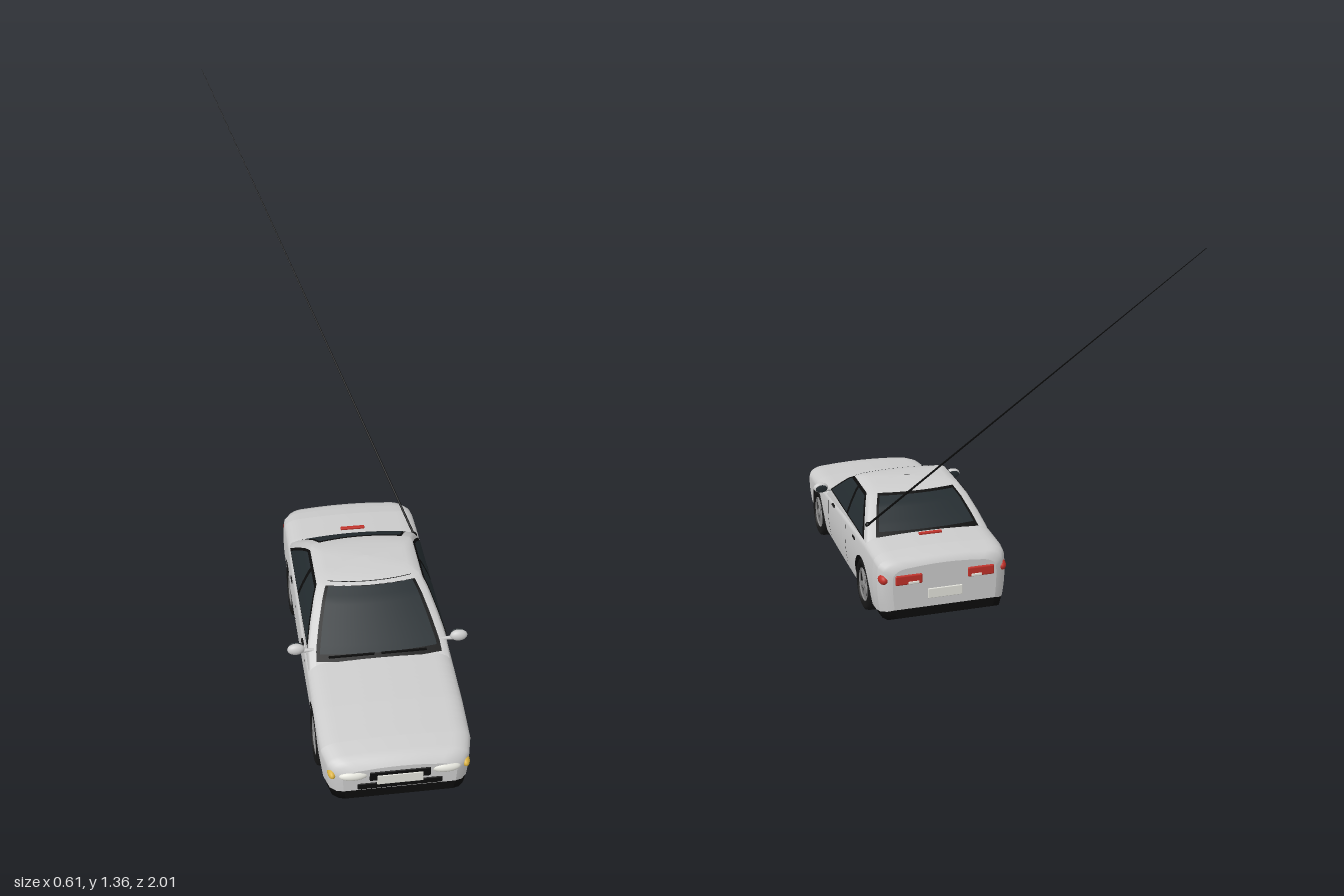
import * as THREE from 'three';
import { RoundedBoxGeometry } from 'three/addons/geometries/RoundedBoxGeometry.js';

const mat = (color) => new THREE.MeshStandardMaterial({ color, side: THREE.DoubleSide });
const PAINT = mat(0xcccccc), BLACK = mat(0x0c0c0c), GLASS = mat(0x242c30), RUBBER = mat(0x161616);
const METAL = mat(0x8a8a8a), WHITE = mat(0xe4e4dc), RED = mat(0xc03028), AMBER = mat(0xd8b040);

// Linear lookup in a table whose first column is the key
function lookup(table, k) {
  let i = 0;
  while (i < table.length - 2 && k > table[i + 1][0]) i++;
  const a = table[i], b = table[i + 1];
  const t = THREE.MathUtils.clamp((k - a[0]) / (b[0] - a[0]), 0, 1);
  return a.map((v, n) => v + (b[n] - v) * t);
}

// Smooth skin through rows of points
function skin(rows) {
  const n = rows[0].length, index = [];
  for (let i = 0; i < rows.length - 1; i++) {
    for (let j = 0; j < n - 1; j++) {
      const a = i * n + j, b = a + n;
      index.push(a, a + 1, b, b, a + 1, b + 1);
    }
  }
  const g = new THREE.BufferGeometry();
  g.setAttribute('position', new THREE.Float32BufferAttribute(rows.flat(2), 3));
  g.setIndex(index);
  g.computeVertexNormals();
  return g;
}

// Patch from a rule p(u, v) with u and v from 0 to 1
const patch = (p, nu, nv) => skin(Array.from({ length: nu + 1 }, (_, i) =>
  Array.from({ length: nv + 1 }, (_, j) => p(i / nu, j / nv))));

const WHEEL_Z = [0.777, 0.14], WHEEL_R = 0.083, ARCH_R = 0.094;

// Lower body: z, half width, bottom, top
const BODY = [
  [-0.078, 0.165, 0.085, 0.225], [-0.07, 0.188, 0.08, 0.24], [-0.04, 0.205, 0.07, 0.247],
  [0, 0.209, 0.06, 0.254], [0.1, 0.21, 0.055, 0.257], [0.4, 0.21, 0.05, 0.242],
  [0.65, 0.209, 0.05, 0.225], [0.8, 0.208, 0.055, 0.214], [0.92, 0.205, 0.07, 0.2],
  [0.97, 0.192, 0.08, 0.19], [0.99, 0.175, 0.086, 0.18], [1, 0.155, 0.092, 0.168],
];
// Cabin: height, front z, back z, half width
const CABIN = [
  [0.2, 0.68, 0.04, 0.204], [0.24, 0.615, 0.085, 0.199], [0.28, 0.555, 0.135, 0.184],
  [0.32, 0.495, 0.19, 0.166], [0.343, 0.45, 0.235, 0.15], [0.352, 0.41, 0.28, 0.12],
  [0.357, 0.35, 0.34, 0.01],
];
const CORNER = 0.02, BOW = 0.015;

function archAt(z) {
  for (const c of WHEEL_Z) {
    const d = z - c;
    if (Math.abs(d) < ARCH_R) return WHEEL_R + Math.sqrt(ARCH_R * ARCH_R - d * d);
  }
  return 0;
}
const sideX = (w, y) => w * (1 - 0.05 * ((y - 0.16) / 0.1) ** 2);

// Body section from one sill over the top to the other
function bodySection(z) {
  const [, w, bottom, top] = lookup(BODY, z);
  const sill = Math.max(bottom, archAt(z)), shoulder = top - 0.035, half = [];
  for (let i = 0; i <= 6; i++) {
    const y = sill + (Math.max(shoulder, sill) - sill) * i / 6;
    half.push([sideX(w, y), y]);
  }
  const [sx, sy] = half[6];
  for (let i = 1; i <= 6; i++) {
    const a = i / 6 * Math.PI / 2;
    half.push([sx - 0.055 * (1 - Math.cos(a)), sy + (top - 0.006 - sy) * Math.sin(a)]);
  }
  const [ex, ey] = half[12];
  for (const f of [0.66, 0.33]) half.push([ex * f, ey + 0.006 * (1 - f * f)]);
  return [...half, [0, top], ...half.slice().reverse().map(([x, y]) => [-x, y])].map(([x, y]) => [x, y, z]);
}

// Underside section, arched over the wheels
function underSection(z) {
  const [, w, bottom] = lookup(BODY, z);
  const arch = archAt(z), sill = arch || bottom, floor = arch || Math.max(0.048, bottom - 0.028);
  const x = sideX(w, sill) * 0.995;
  return [[x, sill, z], [x * 0.97, floor, z], [-x * 0.97, floor, z], [-x, sill, z]];
}

// Horizontal cabin ring with a bowed front and back
function cabinRing(y) {
  const [, zf, zb, w] = lookup(CABIN, y), r = Math.min(CORNER, w * 0.5), ring = [];
  const bow = Math.min(BOW, (zf - zb) * 0.1);
  for (let i = -4; i <= 4; i++) ring.push([(w - r) * i / 4, y, zf - bow * (i / 4) ** 2]);
  const f = zf - bow, b = zb + bow, c = Math.min(CORNER, (f - b) * 0.3);
  ring.push([w - r * 0.25, y, f - c * 0.4]);
  for (let i = 0; i <= 4; i++) ring.push([w, y, f - c + (b - f + 2 * c) * i / 4]);
  ring.push([w - r * 0.25, y, b + c * 0.4]);
  for (let i = 4; i >= -4; i--) ring.push([(w - r) * i / 4, y, zb + bow * (i / 4) ** 2]);
  ring.push([-w + r * 0.25, y, b + c * 0.4]);
  for (let i = 4; i >= 0; i--) ring.push([-w, y, f - c + (b - f + 2 * c) * i / 4]);
  ring.push([-w + r * 0.25, y, f - c * 0.4], ring[0]);
  return ring;
}

// Pane on the front (dir 1) or back (dir -1) of the cabin
const endPane = (dir, y0, y1, span, off) => patch((u, v) => {
  const y = y0 + (y1 - y0) * u, s = (2 * v - 1) * span, [, zf, zb, w] = lookup(CABIN, y);
  return [s * (w - CORNER), y, (dir > 0 ? zf - BOW * s * s : zb + BOW * s * s) + dir * off];
}, 16, 10);

// Pane on a cabin side between two z rules
const sidePane = (side, y0, y1, z0, z1, off) => patch((u, v) => {
  const y = y0 + (y1 - y0) * u, [, zf, zb, w] = lookup(CABIN, y);
  const a = z0(zb), b = z1(zf);
  return [side * (w + off), y, a + (b - a) * v];
}, 14, 4);

function makeWheel(side) {
  const wheel = new THREE.Group();
  const part = (name, g, m) => { const o = new THREE.Mesh(g, m); o.name = name; wheel.add(o); return o; };
  const tyre = [[0.052, -0.02], [0.072, -0.025], [0.08, -0.021], [0.083, -0.012], [0.083, 0.012],
    [0.08, 0.021], [0.072, 0.025], [0.052, 0.02], [0.052, -0.02]].map(([r, y]) => new THREE.Vector2(r, y));
  part('tyre', new THREE.LatheGeometry(tyre, 40), RUBBER);
  part('wheelDisc', new THREE.CylinderGeometry(0.053, 0.053, 0.026, 32), RUBBER);
  part('rim', new THREE.TorusGeometry(0.051, 0.003, 8, 40).rotateX(Math.PI / 2), METAL).position.y = 0.019;
  part('hub', new THREE.CylinderGeometry(0.012, 0.014, 0.01, 20), METAL).position.y = 0.017;
  for (let i = 0; i < 5; i++) {
    part('spoke', new THREE.BoxGeometry(0.042, 0.006, 0.011).translate(0.03, 0.016, 0).rotateY(i * Math.PI * 0.4), METAL);
  }
  wheel.rotation.z = -side * Math.PI / 2;
  return wheel;
}

export function createModel() {
  const model = new THREE.Group(), car = new THREE.Group();
  car.name = 'car';
  car.position.x = 0.05;
  model.add(car);
  const add = (name, g, m, x = 0, y = 0, z = 0) => {
    const o = new THREE.Mesh(g, m);
    o.name = name;
    o.position.set(x, y, z);
    car.add(o);
    return o;
  };
  const box = (w, h, d, r = 0.003) => new RoundedBoxGeometry(w, h, d, 2, r);
  const blob = (a, b, c) => new THREE.SphereGeometry(1, 24, 16).scale(a, b, c);

  // Stations along the car, with extra ones around the arches
  const zs = BODY.map((s) => s[0]);
  for (let z = -0.06; z < 0.99; z += 0.02) zs.push(z);
  for (const c of WHEEL_Z) {
    for (let i = 0; i <= 24; i++) zs.push(c + ARCH_R * 1.0001 * Math.cos(i / 24 * Math.PI));
    zs.push(c - ARCH_R * 0.9999, c + ARCH_R * 0.9999);
  }
  zs.sort((a, b) => a - b);

  // Shell, ends and underside
  add('bodyShell', skin(zs.map(bodySection)), PAINT);
  add('underbody', skin(zs.map(underSection)), BLACK);
  for (const z of [zs[0], 1]) {
    for (const [name, section, m] of [['endPanel', bodySection, PAINT], ['lowerValance', underSection, BLACK]]) {
      const edge = section(z);
      add(name, skin([edge, edge.map(([, y]) => [0, y, z])]), m);
    }
  }
  add('floorPan', new THREE.BoxGeometry(0.3, 0.04, 0.92), BLACK, 0, 0.07, 0.46);

  // Cabin and glass
  const levels = [0.2, 0.22, 0.24, 0.26, 0.28, 0.3, 0.32, 0.335, 0.343, 0.348, 0.352, 0.355, 0.357];
  add('cabin', skin(levels.map(cabinRing)), PAINT);
  add('windscreenSeal', endPane(1, 0.222, 0.345, 0.99, 0.0015), BLACK);
  add('windscreen', endPane(1, 0.234, 0.34, 0.93, 0.003), GLASS);
  add('rearWindowSeal', endPane(-1, 0.25, 0.343, 0.96, 0.0015), BLACK);
  add('rearWindow', endPane(-1, 0.262, 0.338, 0.91, 0.003), GLASS);
  for (const wiper of [-0.08, 0.07]) {
    add('wiper', new THREE.BoxGeometry(0.13, 0.004, 0.006), BLACK, wiper, 0.235, 0.632);
  }

  for (const s of [1, -1]) {
    // Side windows with dark seals
    add('sideWindowSeal', sidePane(s, 0.237, 0.338, (b) => b + 0.048, (f) => f - 0.027, 0.0015), BLACK);
    add('frontSideWindow', sidePane(s, 0.243, 0.33, () => 0.362, (f) => f - 0.037, 0.003), GLASS);
    add('rearSideWindow', sidePane(s, 0.243, 0.33, (b) => b + 0.062, () => 0.345, 0.003), GLASS);

    // Door seams and handles
    for (const z of [0.595, 0.35]) {
      add('doorSeam', patch((u, v) => {
        const y = 0.07 + 0.135 * u;
        return [s * (sideX(0.21, y) + 0.0008), y, z + (v - 0.5) * 0.003];
      }, 8, 1), BLACK);
    }
    for (const z of [0.525, 0.24]) add('doorHandle', box(0.008, 0.008, 0.032), RUBBER, s * 0.207, 0.204, z);

    // Mirrors
    add('mirrorArm', new THREE.CylinderGeometry(0.005, 0.006, 0.045, 10).rotateZ(Math.PI / 2), PAINT, s * 0.205, 0.236, 0.595);
    add('mirror', blob(0.025, 0.017, 0.014), PAINT, s * 0.234, 0.245, 0.597);
    add('mirrorGlass', blob(0.02, 0.013, 0.003), GLASS, s * 0.234, 0.245, 0.584);

    // Lamps
    add('headlamp', blob(0.04, 0.015, 0.014), WHITE, s * 0.125, 0.143, 0.994);
    add('frontIndicator', blob(0.012, 0.013, 0.024), AMBER, s * 0.181, 0.141, 0.972);
    add('tailLamp', box(0.085, 0.032, 0.012, 0.005), RED, s * 0.115, 0.182, -0.077);
    add('reversingLamp', box(0.035, 0.01, 0.012), WHITE, s * 0.1, 0.172, -0.079);
    add('tailLampCorner', blob(0.016, 0.017, 0.026), RED, s * 0.188, 0.182, -0.05);

    // Wheels
    for (const z of WHEEL_Z) {
      const wheel = makeWheel(s);
      wheel.name = z > 0.5 ? 'frontWheel' : 'rearWheel';
      wheel.position.set(s * 0.183, WHEEL_R, z);
      car.add(wheel);
    }
  }

  // Grille, intake, plates and high brake lamp
  add('grille', box(0.165, 0.03, 0.008), BLACK, 0, 0.138, 0.999);
  add('lowerIntake', box(0.23, 0.02, 0.008), BLACK, 0, 0.105, 0.999);
  add('frontPlate', box(0.125, 0.032, 0.006, 0.002), WHITE, 0, 0.126, 1.002);
  add('rearPlate', box(0.11, 0.032, 0.006, 0.002), WHITE, 0, 0.128, -0.079);
  add('highBrakeLamp', box(0.075, 0.008, 0.012), RED, 0, 0.259, 0.08);

  // Long whip aerial
  const base = new THREE.Vector3(0.18, 0.275, 0.16), tip = new THREE.Vector3(-0.355, 1.363, -1);
  const dir = tip.clone().sub(base);
  const aerial = add('aerial', new THREE.CylinderGeometry(0.0008, 0.0035, dir.length(), 10), BLACK);
  aerial.position.copy(base).addScaledVector(dir, 0.5);
  aerial.quaternion.setFromUnitVectors(new THREE.Vector3(0, 1, 0), dir.normalize());
  add('aerialMount', blob(0.009, 0.009, 0.009), BLACK, base.x, base.y, base.z);
  return model;
}
